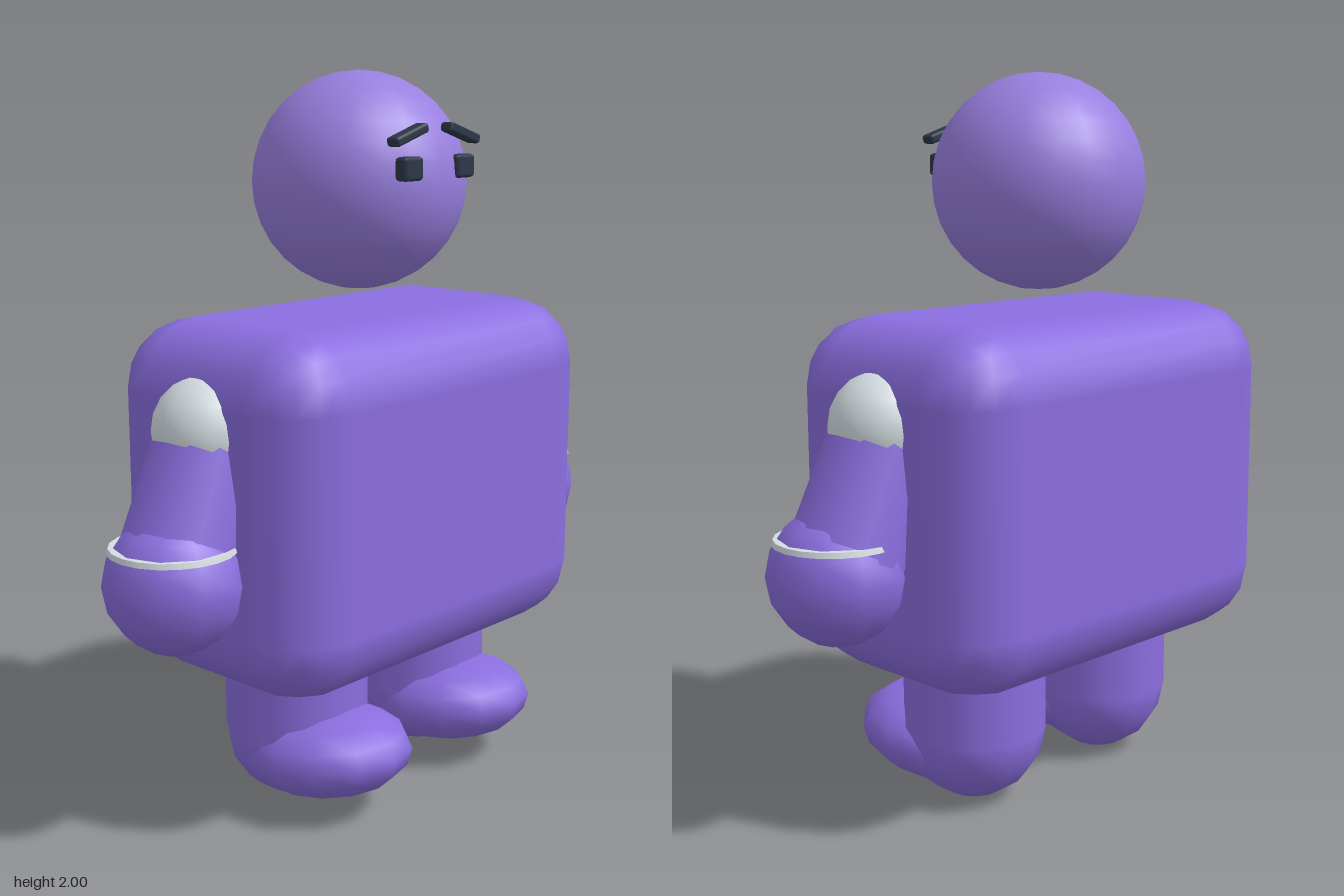
import * as THREE from 'three';
import { RoundedBoxGeometry } from 'three/addons/geometries/RoundedBoxGeometry.js';

const material = (name, color) => {
  const m = new THREE.MeshStandardMaterial({ color });
  m.name = name;
  return m;
};

export function createModel() {
  const purple = material('body purple', 0x8b6ee0);
  const lilac = material('head lilac', 0x987fe0);
  const white = material('pale grey', 0xd3dce1);
  const dark = material('dark slate', 0x2d3748);

  const model = new THREE.Group();
  model.name = 'figure';

  const add = (name, geometry, mat, x, y, z, parent = model) => {
    const mesh = new THREE.Mesh(geometry, mat);
    mesh.name = name;
    mesh.position.set(x, y, z);
    parent.add(mesh);
    return mesh;
  };

  // Head and soft-cornered torso
  add('head', new THREE.SphereGeometry(0.295, 20, 16), lilac, 0, 1.705, 0);
  add('torso', new RoundedBoxGeometry(1.25, 0.97, 0.75, 2, 0.19), purple, 0, 0.875, 0);

  for (const [side, s] of [['left', 1], ['right', -1]]) {
    // Face: blocky eye and a brow that rises towards the middle
    add(side + 'Eye', new RoundedBoxGeometry(0.072, 0.062, 0.042, 1, 0.01), dark, s * 0.105, 1.75, 0.272);
    const brow = add(side + 'Brow', new RoundedBoxGeometry(0.128, 0.026, 0.042, 1, 0.008), dark, s * 0.107, 1.836, 0.268);
    brow.rotation.z = -s * 0.3;

    // Arm: pale shoulder ball, flared sleeve, cuff and round hand
    const arm = new THREE.Group();
    arm.name = side + 'Arm';
    model.add(arm);
    add('shoulder', new THREE.SphereGeometry(0.15, 14, 10), white, s * 0.57, 1.095, 0, arm);
    const top = new THREE.Vector3(s * 0.565, 1.09, 0);
    const bottom = new THREE.Vector3(s * 0.69, 0.78, 0.01);
    const axis = top.clone().sub(bottom);
    const mid = top.clone().add(bottom).multiplyScalar(0.5);
    const sleeve = add('sleeve', new THREE.CylinderGeometry(0.141, 0.162, axis.length(), 12), purple, mid.x, mid.y, mid.z, arm);
    sleeve.quaternion.setFromUnitVectors(new THREE.Vector3(0, 1, 0), axis.normalize());
    add('cuff', new THREE.CylinderGeometry(0.163, 0.167, 0.014, 20), white, s * 0.718, 0.823, 0.02, arm);
    add('hand', new THREE.SphereGeometry(0.186, 10, 8), purple, s * 0.715, 0.73, 0.022, arm);

    // Leg: round-bottomed post with a flattened foot pushed forward
    const leg = new THREE.Group();
    leg.name = side + 'Leg';
    model.add(leg);
    add('shin', new THREE.CapsuleGeometry(0.2, 0.25, 4, 14), purple, s * 0.26, 0.33, 0, leg);
    const foot = add('foot', new THREE.SphereGeometry(1, 12, 8), purple, s * 0.265, 0.165, 0.13, leg);
    foot.scale.set(0.216, 0.122, 0.247);
    foot.rotation.x = -0.12;
  }

  // Rest the feet on the ground
  const lowest = new THREE.Box3().setFromObject(model, true).min.y;
  for (const child of model.children) child.position.y -= lowest;
  return model;
}
